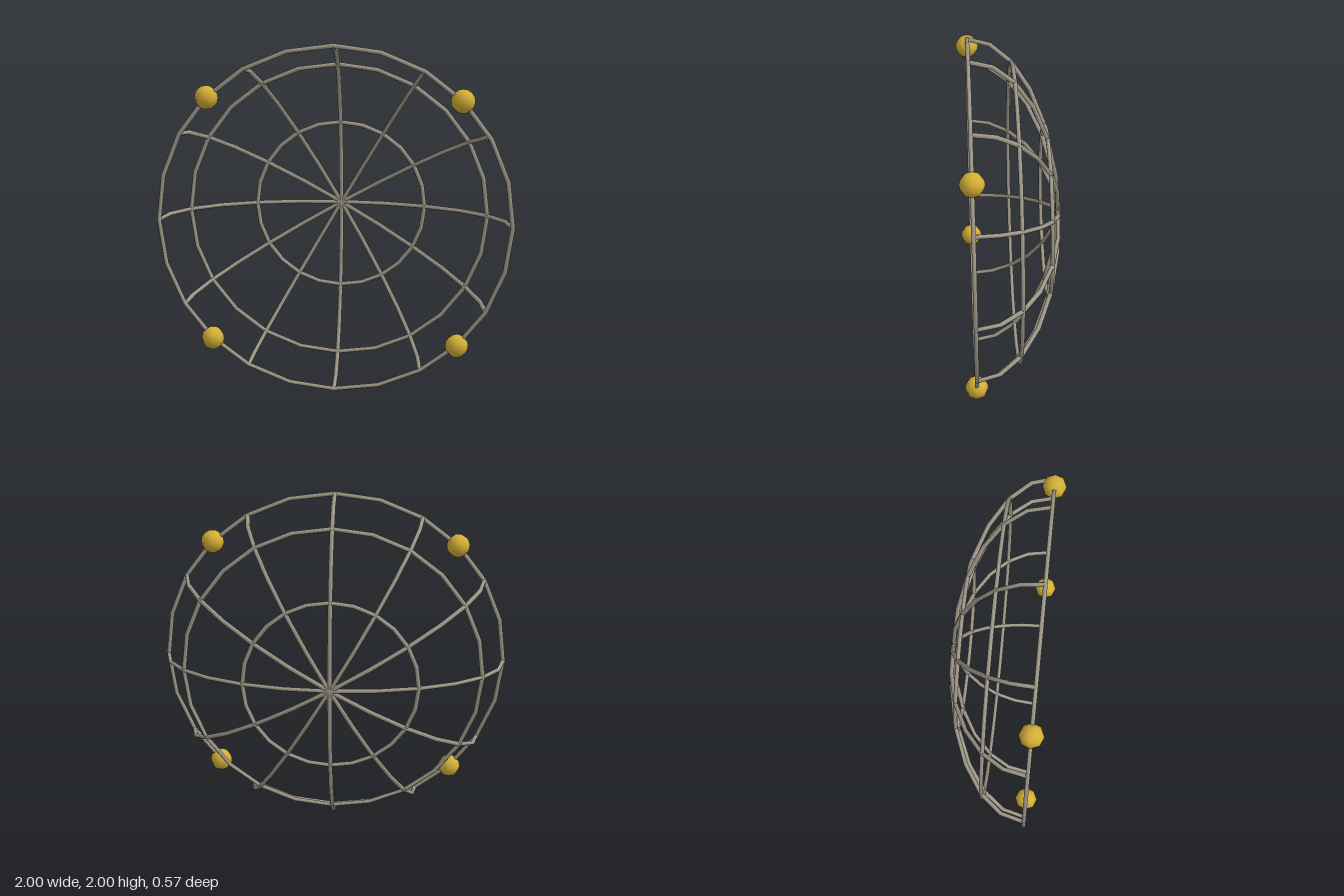
import * as THREE from 'three';

const R = 0.987;          // rim radius
const DEPTH = 0.4935;     // bowl depth
const TUBE = 0.0128;      // wire radius
const RIM_Z = 0.22;

// Half-ellipse running from rim to rim through the pole, evenly stepped by angle
class RibCurve extends THREE.Curve {
  constructor(angle) {
    super();
    this.angle = angle;
  }
  getUtoTmapping(u) {
    return u;
  }
  getPoint(t, target = new THREE.Vector3()) {
    const a = t * Math.PI;
    const r = R * Math.cos(a);
    return target.set(r * Math.cos(this.angle), r * Math.sin(this.angle), -DEPTH * Math.sin(a));
  }
}

export function createModel() {
  const wire = new THREE.MeshStandardMaterial({ color: 0xa09a8a });
  wire.name = 'warm grey metal';
  const gold = new THREE.MeshStandardMaterial({ color: 0xd4af37 });
  gold.name = 'gold';

  const model = new THREE.Group();
  model.name = 'wireBowl';
  const bowl = new THREE.Group();
  bowl.name = 'bowl';
  bowl.position.set(0, 1, RIM_Z);
  model.add(bowl);

  const add = (name, geometry, material) => {
    const mesh = new THREE.Mesh(geometry, material);
    mesh.name = name;
    bowl.add(mesh);
    return mesh;
  };

  // Rim and two hoops, at latitudes of 0, 30 and 60 degrees
  ['rim', 'middleHoop', 'innerHoop'].forEach((name, i) => {
    const lat = (i * Math.PI) / 6;
    const hoop = add(name, new THREE.TorusGeometry(R * Math.cos(lat), TUBE, 6, 24), wire);
    hoop.position.z = -DEPTH * Math.sin(lat);
  });

  // Six ribs crossing at the pole
  for (let i = 0; i < 6; i++) {
    add('rib' + (i + 1), new THREE.TubeGeometry(new RibCurve((i * Math.PI) / 6), 12, TUBE, 6, false), wire);
  }

  // Four balls on the rim
  const ballGeometry = new THREE.SphereGeometry(0.066, 8, 8);
  for (let i = 0; i < 4; i++) {
    const a = Math.PI / 4 + (i * Math.PI) / 2;
    add('rimBall' + (i + 1), ballGeometry, gold).position.set(R * Math.cos(a), R * Math.sin(a), 0);
  }

  return model;
}
